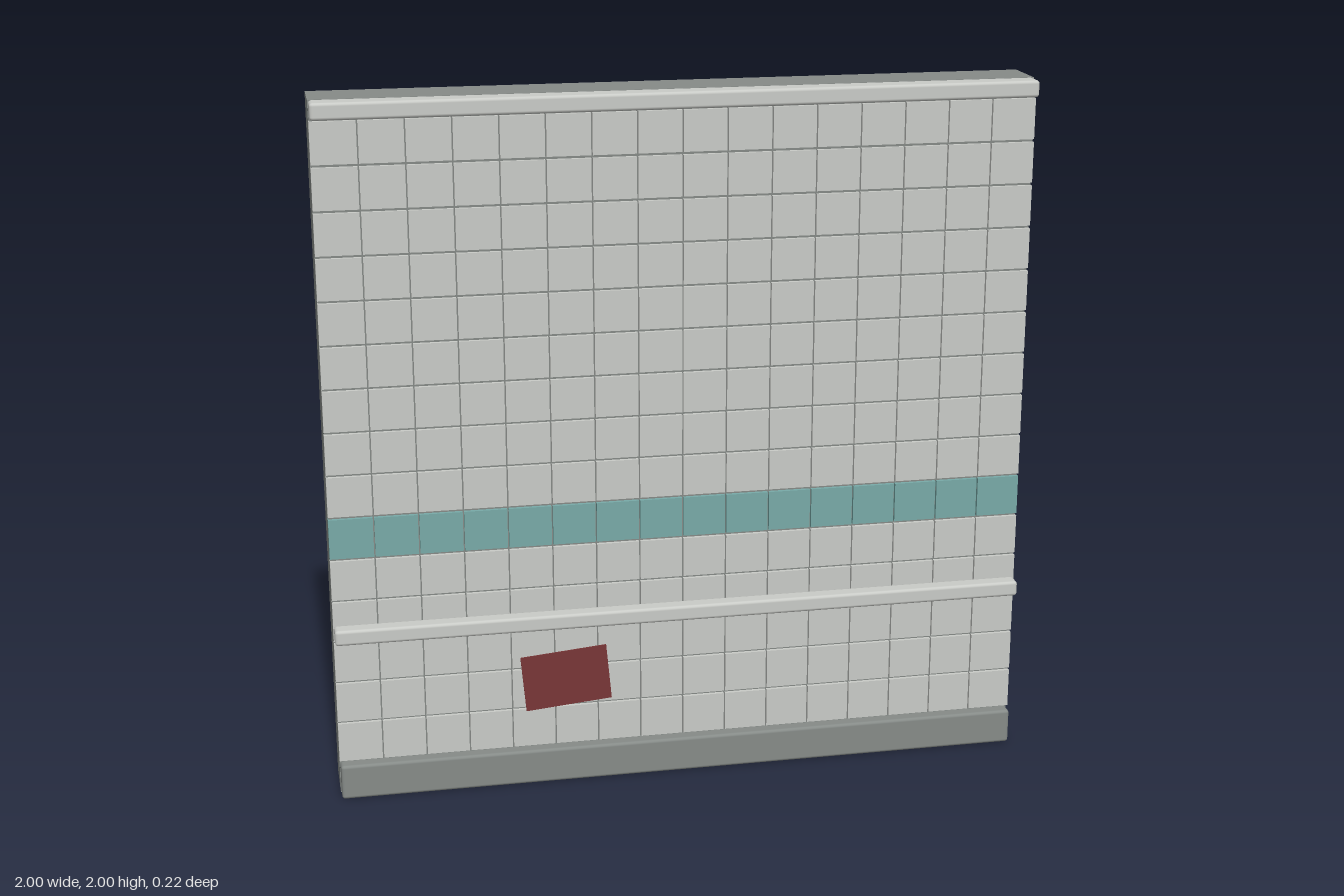
import * as THREE from 'three';
import { RoundedBoxGeometry } from 'three/addons/geometries/RoundedBoxGeometry.js';

const mat = (name, color) => Object.assign(new THREE.MeshStandardMaterial({ color }), { name });

export function createModel() {
  const group = new THREE.Group();
  const concrete = mat('concrete grey', 0x868b88);
  const ceramic = mat('pale ceramic', 0xc9cbc7);
  const teal = mat('teal ceramic', 0x78aaa8);
  const grout = mat('grout grey', 0x858a87);
  const red = mat('dark red', 0x783637);

  const add = (name, geometry, material, x, y, z) => {
    const mesh = new THREE.Mesh(geometry, material);
    mesh.name = name;
    mesh.position.set(x, y, z);
    group.add(mesh);
    return mesh;
  };

  // Structural wall and recessed grout bed
  add('wall', new THREE.BoxGeometry(2, 2, 0.15), concrete, 0, 1, -0.035);
  add('groutBed', new THREE.BoxGeometry(1.998, 1.9, 0.014), grout, 0, 1.03, 0.047);

  // Tile grid with one teal course
  const columns = 16, rows = 15, bottom = 0.105, pitch = 0.123;
  const gapX = 0.004, gapY = 0.008, width = 2 / columns;
  for (let r = 0; r < rows; r++) {
    for (let c = 0; c < columns; c++) {
      const left = -1 + c * width + (c ? gapX / 2 : 0);
      const right = -1 + (c + 1) * width - (c < columns - 1 ? gapX / 2 : 0);
      const tile = new THREE.BoxGeometry(right - left, pitch - gapY, 0.025);
      add(r === 5 ? 'tealTile' : 'tile', tile, r === 5 ? teal : ceramic,
        (left + right) / 2, bottom + (r + 0.5) * pitch, 0.0525);
    }
  }

  // Chamfered trims across the front
  const trim = (name, material, y0, y1, z0, z1) =>
    add(name, new RoundedBoxGeometry(1.996, y1 - y0, z1 - z0, 2, 0.009), material,
      0, (y0 + y1) / 2, (z0 + z1) / 2);
  trim('baseboard', concrete, 0, 0.103, 0.035, 0.091);
  trim('handrail', ceramic, 0.48, 0.525, 0.06, 0.11);
  trim('crownTrim', ceramic, 1.953, 2, 0.035, 0.1);

  // Tilted notice stuck on the lower tiles
  const notice = add('notice', new THREE.BoxGeometry(0.25, 0.167, 0.004), red, -0.343, 0.314, 0.0675);
  notice.rotation.z = 0.09;

  return group;
}
